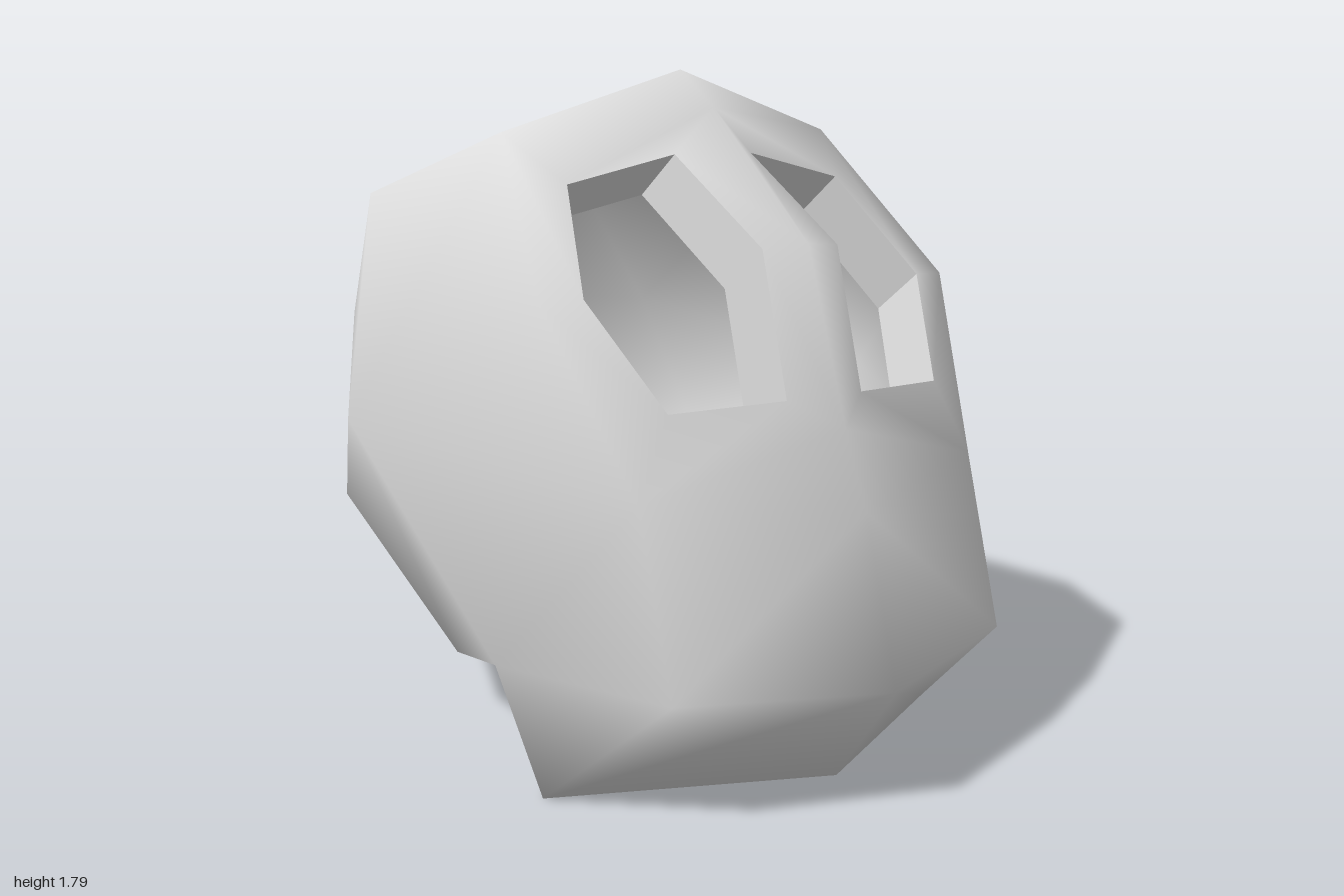
import * as THREE from 'three';

// Point on the skull: a cube-sphere leaning forward about x (side, up, front)
function skull(side, up, front) {
  const c = 0.97, s = 0.24;
  return [side, 0.9 + up * c - front * s, -0.11 + up * s + front * c];
}

// Key points of the left half, mirrored for the right half
const points = {
  crown: skull(0, 0.917, 0), crownBack: skull(0, 0.63, -0.63), back: skull(0, 0, -0.917),
  napeMid: skull(0, -0.63, -0.63), nape: skull(0, -0.917, 0), ear: skull(0.89, 0, 0),
  cornerTop: skull(0.53, 0.75, 0), cornerBack: skull(0.53, 0, -0.75),
  sideTop: skull(0.65, 0.46, -0.46), sideLow: skull(0.65, -0.46, -0.46),
  temple: skull(0.65, 0.46, 0.46),
  neckRim: [0.52, 0.17, -0.24], notch: [0.645, 0.28, 0.2],
  browMid: [0, 1.69, 0.26], bridge: [0, 1.36, 0.65], bridgeLow: [0, 0.92, 0.8],
  noseTip: [0, 0.73, 0.88], chin: [0, 0.31, 1], chinLow: [0, 0.03, 0.79], throat: [0, 0.39, 0.47],
  cheek: [0.535, 0.78, 0.69], jaw: [0.53, 0.33, 0.82], jawCorner: [0.645, 0, 0.43],
  eyeA: [0.125, 1.57, 0.26], eyeB: [0.12, 1.35, 0.62], eyeC: [0.12, 0.99, 0.72],
  eyeD: [0.43, 0.98, 0.66], eyeE: [0.54, 1.24, 0.47], eyeF: [0.44, 1.5, 0.24],
};

// Panels of the left half, counter-clockwise from outside
const panels = [
  // cranium
  'crown cornerTop sideTop crownBack', 'crownBack sideTop cornerBack back',
  'napeMid back cornerBack sideLow', 'napeMid sideLow neckRim nape',
  'ear sideTop cornerTop temple', 'ear sideLow cornerBack sideTop',
  'ear notch neckRim sideLow', 'ear temple cheek notch', 'crown browMid cornerTop',
  // frame around the eye opening
  'browMid eyeA eyeF cornerTop', 'cornerTop eyeF eyeE temple', 'temple eyeE eyeD cheek',
  'cheek eyeD eyeC bridgeLow', 'bridgeLow eyeC eyeB bridge', 'bridge eyeB eyeA browMid',
  // muzzle, jaw and underside of the chin
  'bridgeLow noseTip cheek', 'noseTip chin jaw cheek', 'cheek jaw notch',
  'jaw jawCorner notch', 'chin chinLow jawCorner jaw', 'jawCorner chinLow throat notch',
];

function makeGeometry(positions, index) {
  const g = new THREE.BufferGeometry();
  g.setAttribute('position', new THREE.Float32BufferAttribute(positions, 3));
  if (index) g.setIndex(index);
  g.computeVertexNormals();
  return g;
}

// Mirrored outer skin with shared vertices for smooth normals
function makeSkin() {
  const verts = [], names = [], ids = new Map(), index = [];
  const vertex = (name, side) => {
    const p = points[name];
    const key = name + (p[0] === 0 ? 0 : side);
    if (!ids.has(key)) {
      ids.set(key, verts.length);
      verts.push(new THREE.Vector3(p[0] * side, p[1], p[2]));
      names.push(name);
    }
    return ids.get(key);
  };
  for (const side of [1, -1]) {
    for (const panel of panels) {
      const f = panel.split(' ').map(name => vertex(name, side));
      for (let i = 1; i < f.length - 1; i++) {
        const t = [f[0], f[i], f[i + 1]];
        index.push(...(side > 0 ? t : t.reverse()));
      }
    }
  }
  return { verts, names, index, geometry: makeGeometry(verts.flatMap(v => v.toArray()), index) };
}

export function createModel() {
  const group = new THREE.Group();
  group.name = 'helmet';
  const grey = new THREE.MeshStandardMaterial({ color: 0xdddddd });
  grey.name = 'plain grey';
  const add = (name, geometry) => {
    const mesh = new THREE.Mesh(geometry, grey);
    mesh.name = name;
    group.add(mesh);
  };

  const { verts, names, index, geometry } = makeSkin();
  add('outerShell', geometry);

  // Lining: the skin moved inwards; the eye openings sink straight back and down
  const normals = geometry.attributes.normal;
  const socket = new THREE.Vector3(0, -0.11, -0.15);
  const inner = verts.map((v, i) => {
    if (names[i].startsWith('eye')) return v.clone().add(socket);
    const depth = v.y > 0.9 ? 0.09 : 0.04;
    return new THREE.Vector3().fromBufferAttribute(normals, i).multiplyScalar(-depth).add(v);
  });
  add('innerLining', makeGeometry(inner.flatMap(v => v.toArray()), index.slice().reverse()));

  // Rims: close the open edges of the eyes and neck between skin and lining
  const edges = new Set();
  for (let i = 0; i < index.length; i += 3)
    for (let k = 0; k < 3; k++) edges.add(index[i + k] + '_' + index[i + (k + 1) % 3]);
  const rim = { eyeRims: [], neckRim: [] };
  for (const edge of edges) {
    const [a, b] = edge.split('_').map(Number);
    if (edges.has(b + '_' + a)) continue;
    const part = verts[a].y > 0.9 ? rim.eyeRims : rim.neckRim;
    for (const v of [verts[b], verts[a], inner[a], verts[b], inner[a], inner[b]]) part.push(...v.toArray());
  }
  for (const name in rim) add(name, makeGeometry(rim[name]));
  return group;
}
